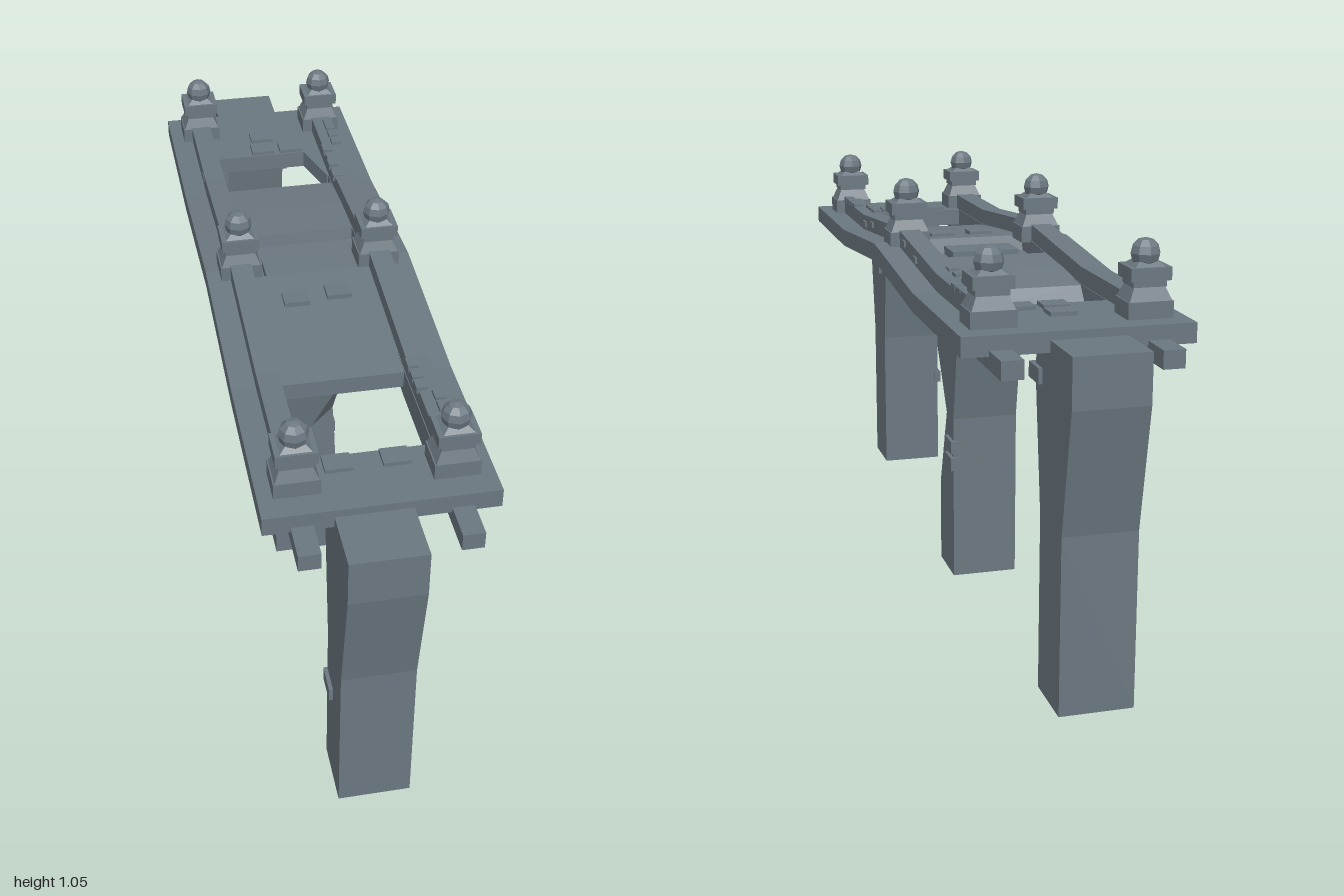
import * as THREE from 'three';

export function createModel() {
  const model = new THREE.Group();
  const stone = new THREE.MeshStandardMaterial({ color: 0x6b7780, flatShading: true, side: THREE.DoubleSide });

  const add = (name, geometry, x = 0, y = 0, z = 0, parent = model) => {
    const mesh = new THREE.Mesh(geometry, stone);
    mesh.name = name;
    mesh.position.set(x, y, z);
    parent.add(mesh);
    return mesh;
  };
  const box = (name, x, y, z, w, h, d, parent) =>
    add(name, new THREE.BoxGeometry(w, h, d), x, y, z, parent);

  // Side outline in (z, y), extruded from x0 to x1
  const sideExtrude = (name, points, x0, x1) => {
    const shape = new THREE.Shape(points.map(([z, y]) => new THREE.Vector2(z, y)));
    const g = new THREE.ExtrudeGeometry(shape, { depth: x1 - x0, bevelEnabled: false });
    g.rotateY(-Math.PI / 2);
    g.translate(x1, 0, 0);
    return add(name, g);
  };

  // Beam that is level at the ends and rises to a ridge at z = 0
  const archedBeam = (name, x0, x1, half, bottom, top, rise = 0.037, flat = 0.43) => sideExtrude(name, [
    [-half, bottom], [-flat, bottom], [0, bottom + rise], [flat, bottom], [half, bottom],
    [half, top], [flat, top], [0, top + rise], [-flat, top], [-half, top]], x0, x1);

  // Loft of equal-length rings of [x, y, z], capped at both ends
  const loft = (rings) => {
    const n = rings[0].length, index = [];
    for (let r = 0; r < rings.length - 1; r++) {
      for (let i = 0; i < n; i++) {
        const a = r * n + i, b = r * n + (i + 1) % n;
        index.push(a, a + n, b, b, a + n, b + n);
      }
    }
    const last = (rings.length - 1) * n;
    for (let i = 1; i < n - 1; i++) {
      index.push(0, i, i + 1, last, last + i + 1, last + i);
    }
    const g = new THREE.BufferGeometry();
    g.setAttribute('position', new THREE.Float32BufferAttribute(rings.flat(2), 3));
    g.setIndex(index);
    const flat = g.toNonIndexed();
    flat.computeVertexNormals();
    return flat;
  };

  // Piers: [y, back z, front z, chip depth at the front left corner]
  const X0 = -0.102, X1 = 0.065;
  const pier = (name, levels) => add(name, loft(levels.map(([y, zb, zf, chip = 0]) => [
    [X0, y, zb], [X0, y, zf], [X1 - chip, y, zf], [X1, y, zf - chip], [X1, y, zb]])));
  pier('frontPier', [[0.04, 0.805, 0.95], [0.44, 0.805, 0.95], [0.72, 0.765, 1], [0.83, 0.765, 1]]);
  pier('backPier', [[0.04, -0.95, -0.805], [0.44, -0.95, -0.805], [0.72, -1, -0.765], [0.83, -1, -0.765]]);
  pier('middlePier', [[0, -0.06, 0.08], [0.22, -0.06, 0.08], [0.43, -0.06, 0.08, 0.07],
    [0.58, -0.088, 0.107], [0.72, -0.112, 0.13], [0.84, -0.112, 0.13]]);

  // Long beams, walkway edges and parapets on both sides
  for (const s of [-1, 1]) {
    const strip = (name, a, b, ...rest) =>
      archedBeam(name, Math.min(s * a, s * b), Math.max(s * a, s * b), ...rest);
    strip('supportBeam', 0.145, 0.193, 0.945, 0.776, 0.816);
    strip('deckEdge', 0.143, 0.252, 0.86, 0.804, 0.848);
    strip('parapet', 0.145, 0.196, 0.79, 0.846, 0.888);
  }

  // End decks, leaving an opening on each side of the middle deck
  box('frontDeck', 0, 0.826, 0.775, 0.3, 0.044, 0.17);
  box('backDeck', 0, 0.826, -0.735, 0.3, 0.044, 0.25);
  const wedge = new THREE.Shape([[0.1, 0.61], [0.15, 0.61], [0.15, 0.47], [0.14, 0.47]]
    .map(([x, y]) => new THREE.Vector2(x, y)));
  add('brokenDeckEdge', new THREE.ExtrudeGeometry(wedge, { depth: 0.044, bevelEnabled: false })
    .rotateX(-Math.PI / 2), 0, 0.804, 0);

  // Middle deck with a sunken gap over the pier
  sideExtrude('middleDeck', [
    [-0.47, 0.805], [-0.25, 0.82], [0, 0.833], [0.25, 0.82], [0.43, 0.805],
    [0.43, 0.846], [0.25, 0.864], [0.04, 0.882], [0.03, 0.845], [-0.155, 0.84],
    [-0.16, 0.872], [-0.3, 0.862], [-0.435, 0.846]], -0.147, 0.147);
  box('brokenBlock', -0.02, 0.85, -0.015, 0.17, 0.03, 0.09);

  // Posts with stepped caps and faceted balls
  const frustum = (wTop, wBottom, h) =>
    new THREE.CylinderGeometry(wTop * Math.SQRT1_2, wBottom * Math.SQRT1_2, h, 4).rotateY(Math.PI / 4);
  for (const s of [-1, 1]) {
    for (const z of [-0.768, 0, 0.762]) {
      const post = new THREE.Group();
      post.name = 'post';
      post.position.set(s * 0.169, z === 0 ? 0.877 : 0.845, z);
      model.add(post);
      box('postBase', 0, 0.02, 0, 0.1, 0.04, 0.084, post);
      add('postNeck', frustum(0.066, 0.094, 0.032), 0, 0.056, 0, post).scale.z = 0.86;
      box('postCollar', 0, 0.076, 0, 0.074, 0.014, 0.066, post);
      box('postCap', 0, 0.097, 0, 0.09, 0.028, 0.08, post);
      add('capTaper', frustum(0.04, 0.07, 0.012), 0, 0.116, 0, post);
      add('ball', new THREE.SphereGeometry(0.033, 8, 6), 0, 0.136, 0, post);
    }
  }

  // Loose paving on the decks: [x, y, z]
  for (const [x, y, z] of [[-0.005, 0.85, -0.71], [-0.012, 0.85, -0.64], [0.065, 0.85, -0.64],
    [-0.055, 0.876, 0.14], [0.05, 0.877, 0.128], [-0.07, 0.85, 0.72], [0.055, 0.85, 0.72]]) {
    box('paver', x, y, z, 0.06, 0.014, 0.05);
  }
  // Bricks along the left parapet top
  for (const z of [0.46, 0.5, 0.54, 0.58, 0.62, 0.66, 0.7, -0.4, -0.46, -0.54, -0.58, -0.62, -0.66, -0.69]) {
    const inner = Math.abs(z) < 0.57;
    box('parapetBrick', inner ? 0.152 : 0.184, 0.888, z, 0.025, 0.016, 0.032);
  }
  // Bricks on the parapet faces
  for (const [x, y, z] of [[0.196, 0.868, 0.4], [0.196, 0.882, 0.3], [0.196, 0.9, 0.09],
    [0.196, 0.9, -0.1], [0.196, 0.882, -0.22], [-0.193, 0.872, -0.48], [-0.155, 0.872, -0.42]]) {
    box('wallBrick', x, y, z, 0.01, 0.014, 0.03);
  }
  // Bricks standing proud of the piers
  for (const [x, y, z] of [[X1, 0.655, 0.865], [X1, 0.74, 0.08], [X1, 0.74, -0.005], [X1, 0.685, -0.047],
    [X1, 0.355, -0.035], [X1, 0.31, -0.035], [X1, 0.742, -0.776], [X0, 0.74, 0.03], [X0, 0.695, -0.8],
    [X0, 0.235, 0.01], [X0, 0.305, 0.836]]) {
    box('pierBrick', x, y, z, 0.018, 0.034, 0.068);
  }
  return model;
}
